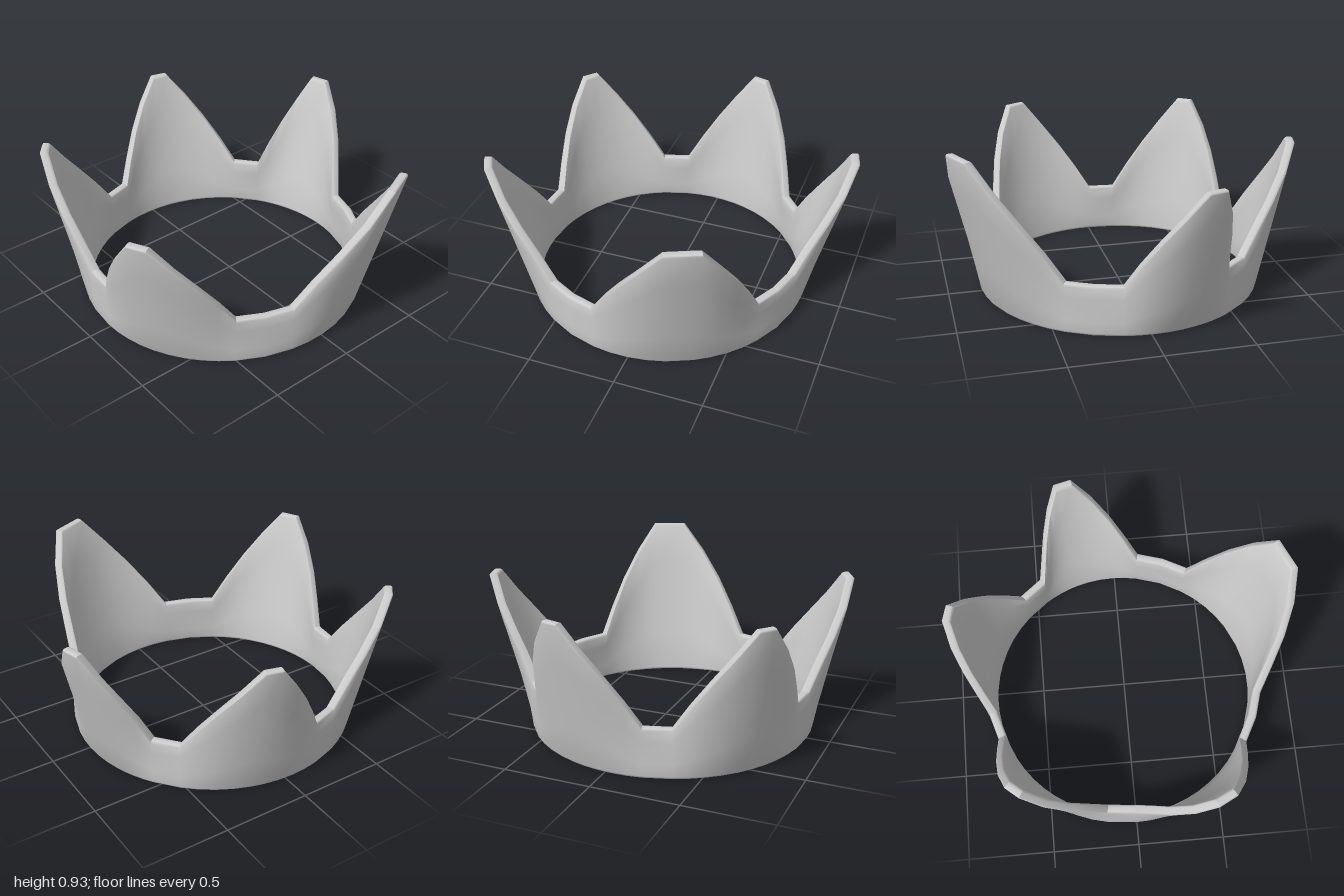
import * as THREE from 'three';
import { toCreasedNormals } from 'three/addons/utils/BufferGeometryUtils.js';

const CX = -0.01, CZ = 0.05;      // centre of the ring
const R = 0.82, WALL = 0.05;      // outer radius and wall thickness
const VALLEY = 0.285, BEVEL = 0.014;

// Spikes: start and end angle at the valley, the two tip corners, tip height, outward lean
const SPIKES = [
  { from: -56.25, to: 11.25, tip: [-29, -18.4], height: 0.925, lean: 0.255 },
  { from: 33.75, to: 90, tip: [59.7, 66], height: 0.85, lean: 0.25 },
  { from: 101.25, to: 157.5, tip: [127.3, 132.6], height: 0.85, lean: 0.225 },
  { from: 168.75, to: 225, tip: [192.7, 198], height: 0.85, lean: 0.22 },
  { from: 236.25, to: 281.25, tip: [252.6, 258.2], height: 0.85, lean: 0.285 },
];

// Columns around the ring: angle, rim height, lean
function makeColumns() {
  const columns = [];
  const steps = 4;
  SPIKES.forEach((s, n) => {
    const flank = (base, corner, t) => columns.push({
      angle: THREE.MathUtils.lerp(base, corner, t),
      top: THREE.MathUtils.lerp(VALLEY, s.height, t),
      lean: s.lean * (1 - (1 - t) ** 2),
    });
    for (let i = 0; i <= steps; i++) flank(s.from, s.tip[0], i / steps);
    for (let i = steps; i >= 0; i--) flank(s.to, s.tip[1], i / steps);
    // wide valleys get one more column in the middle
    const next = n < 4 ? SPIKES[n + 1].from : SPIKES[0].from + 360;
    if (next - s.to > 15) columns.push({ angle: (s.to + next) / 2, top: VALLEY, lean: 0 });
  });
  return columns;
}

// Wall cross-section with rounded edges, as [radius offset, height]
function section(top) {
  const pts = [];
  const corner = (r, y, start) => {
    for (let i = 0; i <= 3; i++) {
      const a = start + (i / 3) * Math.PI / 2;
      pts.push([r + BEVEL * Math.cos(a), y + BEVEL * Math.sin(a)]);
    }
  };
  const b = BEVEL, rows = 4;
  const side = (r, y0, y1) => {
    for (let i = 1; i < rows; i++) pts.push([r, THREE.MathUtils.lerp(y0, y1, i / rows)]);
  };
  corner(-b, b, -Math.PI / 2);
  side(0, b, top - b);
  corner(-b, top - b, 0);
  corner(-WALL + b, top - b, Math.PI / 2);
  side(-WALL, top - b, b);
  corner(-WALL + b, b, Math.PI);
  return pts;
}

function crownGeometry() {
  const columns = makeColumns();
  const positions = [], indices = [];
  let rows = 0;
  for (const c of columns) {
    const a = THREE.MathUtils.degToRad(c.angle);
    const pts = section(c.top);
    rows = pts.length;
    for (const [dr, y] of pts) {
      const r = R + dr + c.lean * y;
      positions.push(CX + r * Math.cos(a), y, CZ + r * Math.sin(a));
    }
  }
  for (let i = 0; i < columns.length; i++) {
    const i2 = (i + 1) % columns.length;
    for (let j = 0; j < rows; j++) {
      const j2 = (j + 1) % rows;
      const a = i * rows + j, up = i * rows + j2;
      const b = i2 * rows + j, bUp = i2 * rows + j2;
      indices.push(a, up, b, up, bUp, b);
    }
  }
  const g = new THREE.BufferGeometry();
  g.setAttribute('position', new THREE.Float32BufferAttribute(positions, 3));
  g.setIndex(indices);
  return toCreasedNormals(g, 0.7);
}

export function createModel() {
  const group = new THREE.Group();
  group.name = 'crown';
  const band = new THREE.Mesh(crownGeometry(), new THREE.MeshStandardMaterial({ color: 0xcccccc }));
  band.name = 'spikedBand';
  group.add(band);
  return group;
}
